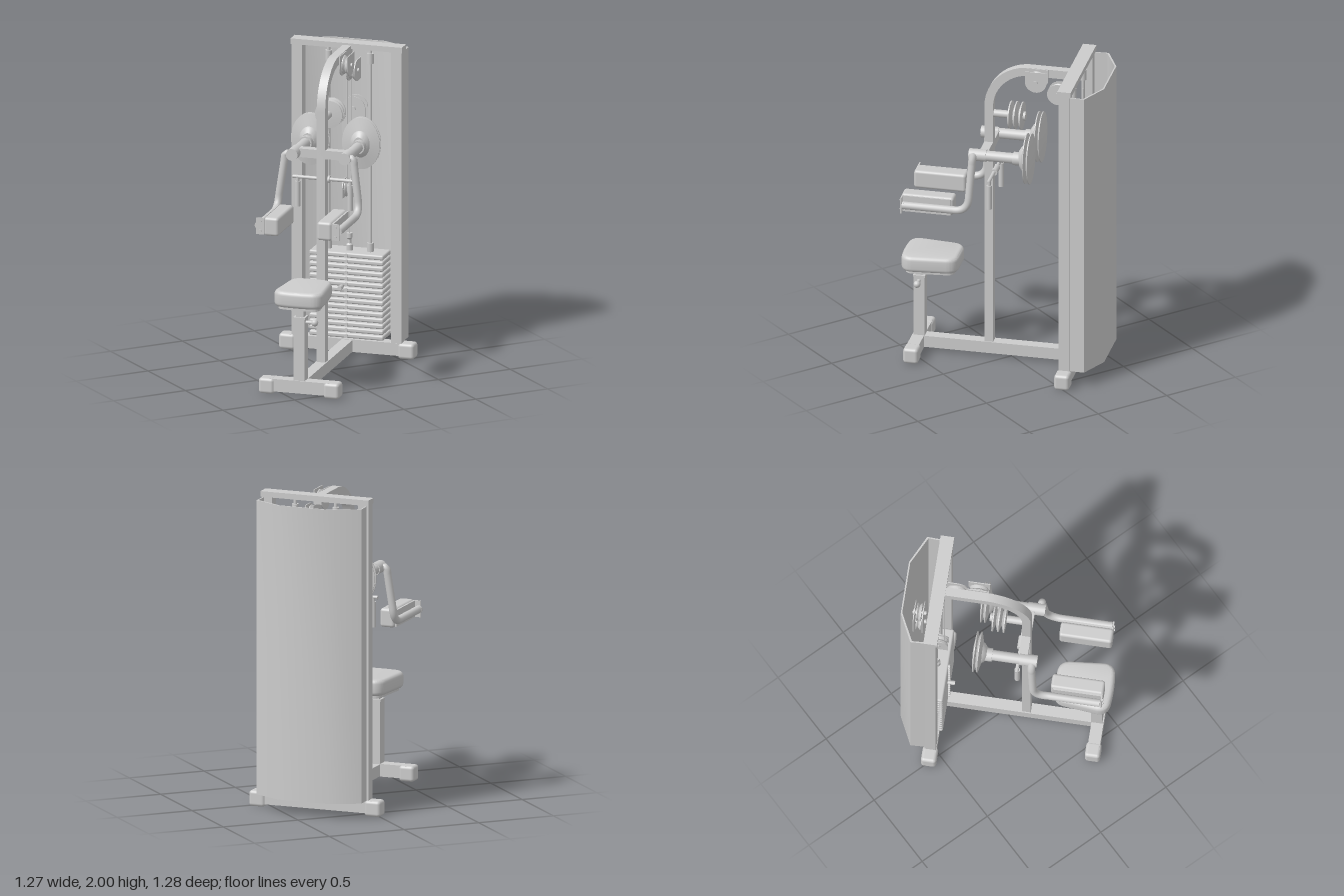
import * as THREE from 'three';
import { toCreasedNormals } from 'three/addons/utils/BufferGeometryUtils.js';
import { RoundedBoxGeometry } from 'three/addons/geometries/RoundedBoxGeometry.js';

const grey = new THREE.MeshStandardMaterial({ color: 0xcccccc });
const sheet = new THREE.MeshStandardMaterial({ color: 0xcccccc, side: THREE.DoubleSide });
const V = (x, y, z) => new THREE.Vector3(x, y, z);
const P = (pts) => pts.map(([x, y]) => new THREE.Vector2(x, y));

export function createModel() {
  const model = new THREE.Group();
  const machine = new THREE.Group(); // built along z, then turned on the floor
  machine.name = 'machine';
  machine.rotation.y = -Math.PI / 4;
  model.add(machine);

  const add = (name, geo, x = 0, y = 0, z = 0, mat = grey) => {
    const m = new THREE.Mesh(geo, mat);
    m.name = name;
    m.position.set(x, y, z);
    machine.add(m);
    return m;
  };
  const box = (name, w, h, d, x, y, z) => add(name, new THREE.BoxGeometry(w, h, d), x, y, z);
  const soft = (name, w, h, d, r, x, y, z) =>
    add(name, new RoundedBoxGeometry(w, h, d, 3, r), x, y, z);
  const rod = (name, r, len, axis, x, y, z, seg = 20) => {
    const g = new THREE.CylinderGeometry(r, r, len, seg);
    if (axis === 'x') g.rotateZ(Math.PI / 2);
    if (axis === 'z') g.rotateX(Math.PI / 2);
    return add(name, g, x, y, z);
  };
  const lathe = (pts, axis) => {
    let g = toCreasedNormals(new THREE.LatheGeometry(P(pts), 36), 0.5);
    if (axis === 'x') g.rotateZ(Math.PI / 2);
    if (axis === 'z') g.rotateX(Math.PI / 2);
    return g;
  };
  const extrude = (shape, depth, opts = {}) => {
    const g = new THREE.ExtrudeGeometry(shape, { depth, bevelEnabled: false, curveSegments: 16, ...opts });
    return toCreasedNormals(g.translate(0, 0, -depth / 2), 0.6);
  };

  // Base frame
  box('rearBaseBeam', 0.76, 0.08, 0.075, -0.005, 0.06, -0.41);
  box('frontBaseBeam', 0.42, 0.08, 0.075, 0, 0.06, 0.585);
  box('spineBeam', 0.07, 0.075, 0.96, 0, 0.06, 0.09);
  for (const s of [-1, 1]) {
    soft('rearFoot', 0.105, 0.1, 0.095, 0.02, -0.005 + s * 0.385, 0.052, -0.41);
    soft('frontFoot', 0.1, 0.1, 0.095, 0.02, s * 0.21, 0.052, 0.585);
    box('rearPost', 0.07, 1.87, 0.07, -0.005 + s * 0.322, 1.035, -0.41);
  }
  box('topBeam', 0.72, 0.035, 0.085, -0.005, 1.9825, -0.41);

  // Upright that bends over into the top arm
  const arch = new THREE.Shape();
  arch.moveTo(-0.1675, 0.09);
  arch.lineTo(-0.1675, 1.7);
  arch.absarc(0.12, 1.7, 0.2875, Math.PI, Math.PI / 2, true);
  arch.lineTo(0.39, 1.9875);
  arch.lineTo(0.39, 1.9325);
  arch.absarc(0.12, 1.7, 0.2325, Math.PI / 2, Math.PI, false);
  arch.lineTo(-0.1125, 0.09);
  add('archedUpright', extrude(arch, 0.055).rotateY(Math.PI / 2));

  // Rear shroud: thin folded sheet around the weight stack
  const half = [[0.346, -0.44], [0.35, -0.535], [0.17, -0.622]];
  const outer = [...half, ...half.map(([x, z]) => [-x, z]).reverse()];
  const inner = outer.map(([x, z]) => [x * 0.975, z === -0.44 ? z : z + 0.009]).reverse();
  const wall = new THREE.Shape(P([...outer, ...inner].map(([x, z]) => [x - 0.003, z])));
  add('shroud', extrude(wall, 1.86).rotateX(Math.PI / 2), 0, 1.03, 0, sheet);

  // Weight stack, guide rods and selector
  for (let i = 0; i < 15; i++) {
    soft('weightPlate', 0.48, 0.031, 0.16, 0.011, 0, 0.128 + i * 0.0368, -0.43);
    rod('plateLabelPin', 0.012, 0.012, 'z', 0, 0.128 + i * 0.0368, -0.346, 10);
  }
  for (const s of [-1, 1]) {
    rod('guideRod', 0.011, 1.84, 'y', s * 0.135, 1.04, -0.42);
    rod('lowerBushing', 0.021, 0.055, 'y', s * 0.135, 0.69, -0.42);
    rod('upperBushing', 0.021, 0.065, 'y', s * 0.135, 1.9, -0.42);
  }
  add('stackHead', lathe([[0, 0], [0.02, 0], [0.02, 0.035], [0.011, 0.045], [0.011, 0.07],
    [0.018, 0.08], [0.018, 0.11], [0, 0.11]]), 0, 0.66, -0.42);
  rod('selectorPin', 0.014, 0.05, 'z', -0.03, 0.44, -0.33, 12);
  rod('cable', 0.004, 0.25, 'y', 0, 0.88, -0.42, 8);
  for (const z of [-0.375, -0.45]) rod('cable', 0.004, 0.78, 'y', 0, 1.48, z, 8);

  // Pulleys in D-shaped side plates (turn sets which way the round end points)
  const wheel = [[0, -0.016], [0.058, -0.016], [0.058, -0.011], [0.046, 0],
    [0.058, 0.011], [0.058, 0.016], [0, 0.016]];
  const bracketPulley = (name, x, y, z, turn, r = 0.068) => {
    const d = new THREE.Shape();
    d.moveTo(-r, -r);
    d.lineTo(r, -r);
    d.lineTo(r, 0);
    d.absarc(0, 0, r, 0, Math.PI, false);
    for (const s of [-1, 1])
      add(name + 'Plate', extrude(d, 0.006).rotateZ(turn).rotateY(Math.PI / 2), x + s * 0.025, y, z);
    add(name, lathe(wheel, 'x'), x, y, z);
    rod(name + 'Bolt', 0.013, 0.075, 'x', x, y, z, 12);
  };
  bracketPulley('archPulley', 0.06, 1.92, -0.17, Math.PI);
  bracketPulley('rearTopPulley', 0.06, 1.85, -0.31, Math.PI / 2);
  bracketPulley('stackPulley', 0, 1.065, -0.41, 0, 0.06);

  // Pair of pulleys in an oval bracket behind the stack
  const oval = new THREE.Shape();
  oval.absarc(0, 0.075, 0.075, 0, Math.PI, false);
  oval.absarc(0, -0.075, 0.075, Math.PI, Math.PI * 2, false);
  for (const z of [-0.505, -0.56]) add('ovalBracket', extrude(oval, 0.006), 0, 1.47, z);
  for (const y of [1.395, 1.545]) {
    add('rearPulley', lathe(wheel, 'z'), 0, y, -0.5325);
    rod('rearPulleyBolt', 0.014, 0.085, 'z', 0, y, -0.53, 12);
  }

  // Double-grooved pulley on the upright
  const flange = (z) => [[0.088, z - 0.004], [0.088, z + 0.004]];
  add('doublePulley', lathe([[0, -0.045], [0.04, -0.045], ...flange(-0.036), [0.045, -0.018],
    ...flange(0), [0.045, 0.018], ...flange(0.036), [0.04, 0.045], [0, 0.045]], 'z'), 0, 1.645, -0.03);
  rod('doublePulleyAxle', 0.024, 0.12, 'z', 0, 1.645, 0.06);
  rod('doublePulleyCap', 0.028, 0.02, 'z', 0, 1.645, -0.08);

  // Cross bar carrying the two pivots
  box('pivotCrossBar', 0.32, 0.055, 0.055, 0, 1.43, 0.14);
  rod('gripBar', 0.011, 0.4, 'x', 0, 1.258, 0.105);
  rod('gripBarCollar', 0.022, 0.08, 'x', 0, 1.258, 0.105);

  for (const s of [-1, 1]) {
    // Pivot tube and oval cam
    rod('pivotTube', 0.033, 0.32, 'z', s * 0.17, 1.43, 0.05);
    rod('pivotSleeve', 0.038, 0.11, 'z', s * 0.17, 1.43, 0.175);
    rod('pivotCollar', 0.042, 0.05, 'z', s * 0.17, 1.43, -0.075);
    const cam = lathe([[0, -0.04], [0.06, -0.04], [0.165, -0.03], [0.165, -0.024], [0.125, -0.015],
      [0.165, -0.004], [0.165, 0.002], [0.085, 0.018], [0.075, 0.03], [0.05, 0.045], [0, 0.045]], 'z');
    add('cam', cam.scale(0.74, 1, 1), s * 0.165, 1.435, -0.13);

    // Bent swing arm
    const path = new THREE.CurvePath();
    const pts = [V(s * 0.175, 1.43, 0.2), V(s * 0.215, 1.43, 0.2), V(s * 0.225, 1.39, 0.202),
      V(s * 0.255, 1.17, 0.215), V(s * 0.257, 1.08, 0.31), V(s * 0.257, 1.08, 0.625)];
    path.add(new THREE.LineCurve3(pts[0], pts[1]));
    path.add(new THREE.QuadraticBezierCurve3(pts[1], V(s * 0.224, 1.43, 0.2), pts[2]));
    path.add(new THREE.LineCurve3(pts[2], pts[3]));
    path.add(new THREE.QuadraticBezierCurve3(pts[3], V(s * 0.264, 1.08, 0.22), pts[4]));
    path.add(new THREE.LineCurve3(pts[4], pts[5]));
    add('swingArm', new THREE.TubeGeometry(path, 60, 0.024, 16));
    rod('swingArmCap', 0.025, 0.012, 'z', s * 0.257, 1.08, 0.628);

    // Arm pad on its backing plate
    soft('armPad', 0.095, 0.118, 0.33, 0.018, s * 0.172, 1.08, 0.485);
    box('padBackPlate', 0.012, 0.105, 0.31, s * 0.225, 1.08, 0.49);
    box('padEndPlate', 0.05, 0.105, 0.008, s * 0.243, 1.08, 0.642);
    for (const y of [1.05, 1.11]) rod('padBolt', 0.008, 0.012, 'z', s * 0.243, y, 0.647, 10);

    // Hanging hand grip
    rod('handGrip', 0.017, 0.16, 'y', s * 0.17, 1.15, 0.105);
    rod('handGripStem', 0.01, 0.05, 'y', s * 0.17, 1.24, 0.105);
  }

  // Seat: rounded trapezoid cushion, wider at the front
  const seat = new THREE.Shape();
  seat.moveTo(-0.06, 0.345);
  seat.lineTo(0.06, 0.345);
  seat.quadraticCurveTo(0.105, 0.345, 0.112, 0.39);
  seat.lineTo(0.132, 0.6);
  seat.quadraticCurveTo(0.135, 0.645, 0.09, 0.65);
  seat.quadraticCurveTo(0, 0.66, -0.09, 0.65);
  seat.quadraticCurveTo(-0.135, 0.645, -0.132, 0.6);
  seat.lineTo(-0.112, 0.39);
  seat.quadraticCurveTo(-0.105, 0.345, -0.06, 0.345);
  add('seatCushion', extrude(seat, 0.05, { bevelEnabled: true, bevelSize: 0.026,
    bevelThickness: 0.027, bevelSegments: 5 }).rotateX(Math.PI / 2), 0, 0.627, 0);
  add('seatBase', extrude(seat, 0.02).rotateX(Math.PI / 2), 0, 0.57, 0);
  box('seatPost', 0.07, 0.41, 0.07, 0, 0.295, 0.58);
  box('seatPostCollar', 0.076, 0.012, 0.076, 0, 0.5, 0.58);
  box('seatStem', 0.05, 0.1, 0.05, 0, 0.53, 0.58);
  rod('seatPinShaft', 0.012, 0.06, 'x', 0.055, 0.47, 0.58, 12);
  add('seatPinKnob', new THREE.SphereGeometry(0.022, 16, 12), 0.09, 0.47, 0.58);

  return model;
}
